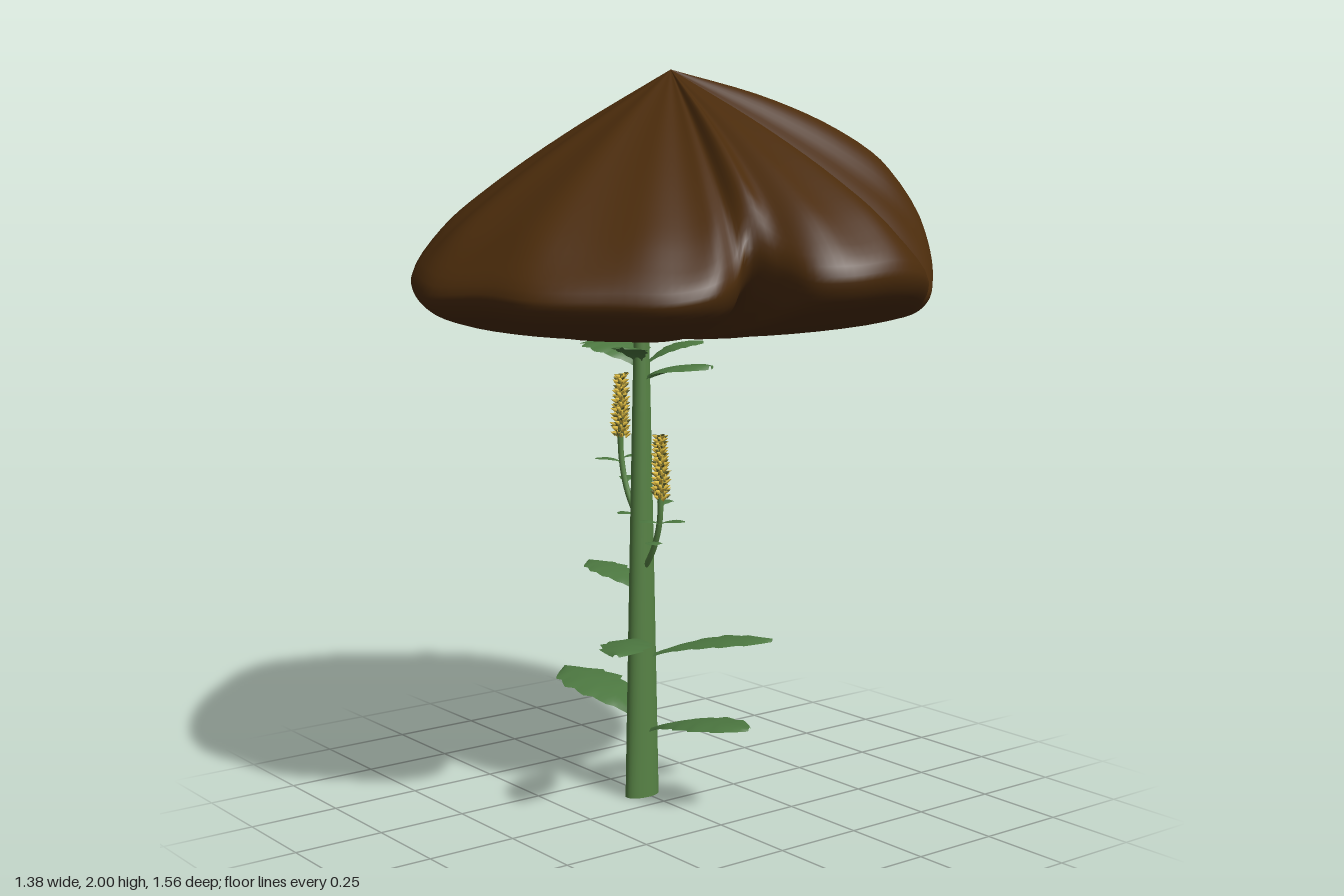
import * as THREE from 'three';
import { mergeGeometries } from 'three/addons/utils/BufferGeometryUtils.js';

const mat = (name, color, side = THREE.FrontSide) => {
  const m = new THREE.MeshStandardMaterial({ color, side });
  m.name = name;
  return m;
};
const V = (x, y, z) => new THREE.Vector3(x, y, z);

// Surface from a grid of points, point(i, j); columns may wrap round
function gridSurface(rows, cols, wrap, point) {
  const pos = [], idx = [];
  for (let i = 0; i <= rows; i++)
    for (let j = 0; j < cols; j++) pos.push(...point(i, j).toArray());
  for (let i = 0; i < rows; i++)
    for (let j = 0; j < (wrap ? cols : cols - 1); j++) {
      const a = i * cols + j, b = i * cols + (j + 1) % cols;
      idx.push(a, a + cols, b, b, a + cols, b + cols);
    }
  const g = new THREE.BufferGeometry();
  g.setAttribute('position', new THREE.Float32BufferAttribute(pos, 3));
  g.setIndex(idx);
  g.computeVertexNormals();
  return g;
}

// Lobed cap: every column runs from the peak over the rim to the underside centre
function capGeometry() {
  const rim = [ // x, y, z, counter-clockwise seen from above
    [0.03, 1.5, -0.78], [-0.08, 1.52, -0.765], [-0.18, 1.48, -0.76], [-0.3, 1.49, -0.65],
    [-0.45, 1.48, -0.5], [-0.58, 1.46, -0.33], [-0.65, 1.45, -0.2], [-0.69, 1.43, -0.05],
    [-0.66, 1.44, 0.15], [-0.62, 1.43, 0.3], [-0.5, 1.43, 0.45], [-0.4, 1.43, 0.55],
    [-0.3, 1.45, 0.59], [-0.22, 1.48, 0.57], [-0.16, 1.55, 0.545], [-0.13, 1.52, 0.61],
    [-0.1, 1.49, 0.71], [-0.02, 1.49, 0.765], [0.1, 1.5, 0.78], [0.2, 1.49, 0.76],
    [0.3, 1.46, 0.69], [0.36, 1.43, 0.62], [0.42, 1.43, 0.58], [0.52, 1.5, 0.48],
    [0.6, 1.6, 0.35], [0.655, 1.63, 0.2], [0.685, 1.52, 0.04], [0.69, 1.45, -0.08],
    [0.675, 1.44, -0.22], [0.62, 1.44, -0.4], [0.55, 1.46, -0.51], [0.45, 1.49, -0.58],
    [0.3, 1.52, -0.66], [0.15, 1.51, -0.745],
  ];
  const curve = new THREE.CatmullRomCurve3(rim.map(p => V(...p)), true);
  const peak = V(0.1, 2, -0.1), under = V(-0.01, 1.28, -0.09);
  const cols = 170, rows = 36, columns = [];
  for (let j = 0; j < cols; j++) {
    const r = curve.getPoint(j / cols);
    const fold = 0.008 * Math.sin(j / cols * Math.PI * 34);
    const swell = 0.75 + (r.y - 1.48) * 3;
    const top = (t, lift) => peak.clone().lerp(r, t).add(V(0, lift * swell + fold * t, 0));
    const low = (t, s) => {
      const p = under.clone().lerp(r, t);
      p.y = under.y + (r.y - under.y) * s;
      return p;
    };
    columns.push(new THREE.CatmullRomCurve3([
      peak, top(0.4, 0.06), top(0.7, 0.08), top(0.89, 0.065), r,
      low(0.97, 0.68), low(0.86, 0.46), low(0.5, 0.16), under,
    ], false, 'centripetal').getPoints(rows));
  }
  return gridSurface(rows, cols, true, (i, j) => columns[j][i]);
}

// Toothed leaf, arching from base to tip
function leafGeometry(base, tip, half, teeth = 6) {
  const mid = base.clone().lerp(tip, 0.38);
  mid.y = tip.y + 0.005;
  const spine = new THREE.QuadraticBezierCurve3(base, mid, tip);
  const side = V(tip.z - base.z, 0, base.x - tip.x).normalize();
  const rows = teeth * 4;
  return gridSurface(rows, 5, false, (i, j) => {
    const t = i / rows, k = (j - 2) / 2;
    const blade = THREE.MathUtils.clamp((t - 0.18) / 0.82, 0, 1);
    const swell = Math.max(0, Math.sin(Math.PI * Math.pow(blade, 1.4)));
    const w = (0.008 + half * Math.pow(swell, 0.7)) * (1.04 - 0.25 * ((i % 4) / 4));
    const p = spine.getPoint(t).addScaledVector(side, k * w);
    p.y -= 0.12 * half * k * k;
    return p;
  });
}

// Small blossoms set in a spiral up a spike
function blossoms(x, y, z, height, count, size, radius, phase) {
  const parts = [];
  for (let i = 0; i < count; i++) {
    const t = (i + 0.5) / count, a = i * 2.4 + phase;
    const r = radius * (1 - 0.3 * t * t) * (0.88 + 0.12 * Math.sin(i * 5.3));
    const g = new THREE.ConeGeometry(size, size * 2.4, 5);
    g.rotateX(Math.PI / 2.6);
    g.rotateY(a);
    g.translate(x + Math.sin(a) * r, y + t * height, z + Math.cos(a) * r);
    parts.push(g);
  }
  return mergeGeometries(parts);
}

export function createModel() {
  const model = new THREE.Group();
  const brown = mat('cap brown', 0x4a2b0b);
  const green = mat('stem green', 0x578345);
  const leafGreen = mat('leaf green', 0x4c7740, THREE.DoubleSide);
  const yellow = mat('blossom yellow', 0xe3c044);
  const olive = mat('blossom core olive', 0x62642f);
  const add = (name, geometry, material, parent = model) => {
    const m = new THREE.Mesh(geometry, material);
    m.name = name;
    parent.add(m);
  };

  add('cap', capGeometry(), brown);

  // Flattened tapering stem
  const sx = -0.01, sz = -0.087;
  const stem = new THREE.CylinderGeometry(0.022, 0.053, 1.3, 24, 6);
  const p = stem.attributes.position;
  for (let i = 0; i < p.count; i++) {
    const t = p.getY(i) / 1.3 + 0.5;
    p.setZ(i, p.getZ(i) * (0.6 + 0.25 * t));
  }
  stem.computeVertexNormals();
  stem.translate(sx, 0.65, sz);
  add('stem', stem, green);

  // Leaves: base height, tip x y z, half width
  const leaves = new THREE.Group();
  leaves.name = 'leaves';
  model.add(leaves);
  [
    [0.18, 0.09, 0.255, 0.26, 0.08],
    [0.2, -0.01, 0.295, -0.46, 0.09],
    [0.39, 0.245, 0.458, 0.17, 0.065],
    [0.44, -0.28, 0.492, 0.16, 0.06],
    [0.57, -0.01, 0.63, -0.335, 0.055],
    [1.17, 0.07, 1.218, 0.11, 0.1],
    [1.19, 0.0, 1.272, -0.29, 0.1],
    [1.2, 0.15, 1.27, -0.02, 0.055],
    [1.2, -0.11, 1.265, -0.04, 0.045],
  ].forEach(([y, tx, ty, tz, half]) =>
    add('leaf', leafGeometry(V(sx, y, sz), V(tx, ty, tz), half), leafGreen, leaves));

  // Flower spikes on curved stalks, with little flat bracts (height, tip z)
  const spikes = [
    { path: [[0.63, -0.085], [0.71, -0.03], [0.79, -0.003], [0.87, 0]], z: 0, y: 0.855,
      bracts: [[0.735, 0.03], [0.79, 0.045], [0.79, -0.03], [0.84, -0.03]] },
    { path: [[0.77, -0.095], [0.857, -0.152], [0.943, -0.177], [1.03, -0.183]], z: -0.18, y: 1.005,
      bracts: [[0.8, -0.13], [0.885, -0.21], [0.94, -0.23], [0.95, -0.15]] },
  ];
  spikes.forEach(({ path, z, y, bracts }, n) => {
    const spike = new THREE.Group();
    spike.name = 'flowerSpike';
    model.add(spike);
    const x = -0.012;
    const curve = new THREE.CatmullRomCurve3(path.map(([py, pz]) => V(x, py, pz)));
    add('flowerStalk', new THREE.TubeGeometry(curve, 20, 0.008, 8), green, spike);
    const core = new THREE.CylinderGeometry(0.009, 0.015, 0.17, 8);
    core.translate(x, y + 0.085, z);
    add('spikeCore', core, olive, spike);
    add('blossoms', blossoms(x, y, z, 0.17, 90, 0.0075, 0.023, n), yellow, spike);
    add('blossomBuds', blossoms(x, y, z, 0.175, 45, 0.005, 0.025, n + 1.1), olive, spike);
    bracts.forEach(([by, bz], i) => {
      const u = (by - 0.008 - path[0][0]) / (path[3][0] - path[0][0]);
      const to = V(x + (i % 2 ? 0.05 : -0.05), by, bz);
      add('bract', leafGeometry(curve.getPoint(u), to, 0.016, 3), leafGreen, spike);
    });
  });

  return model;
}
